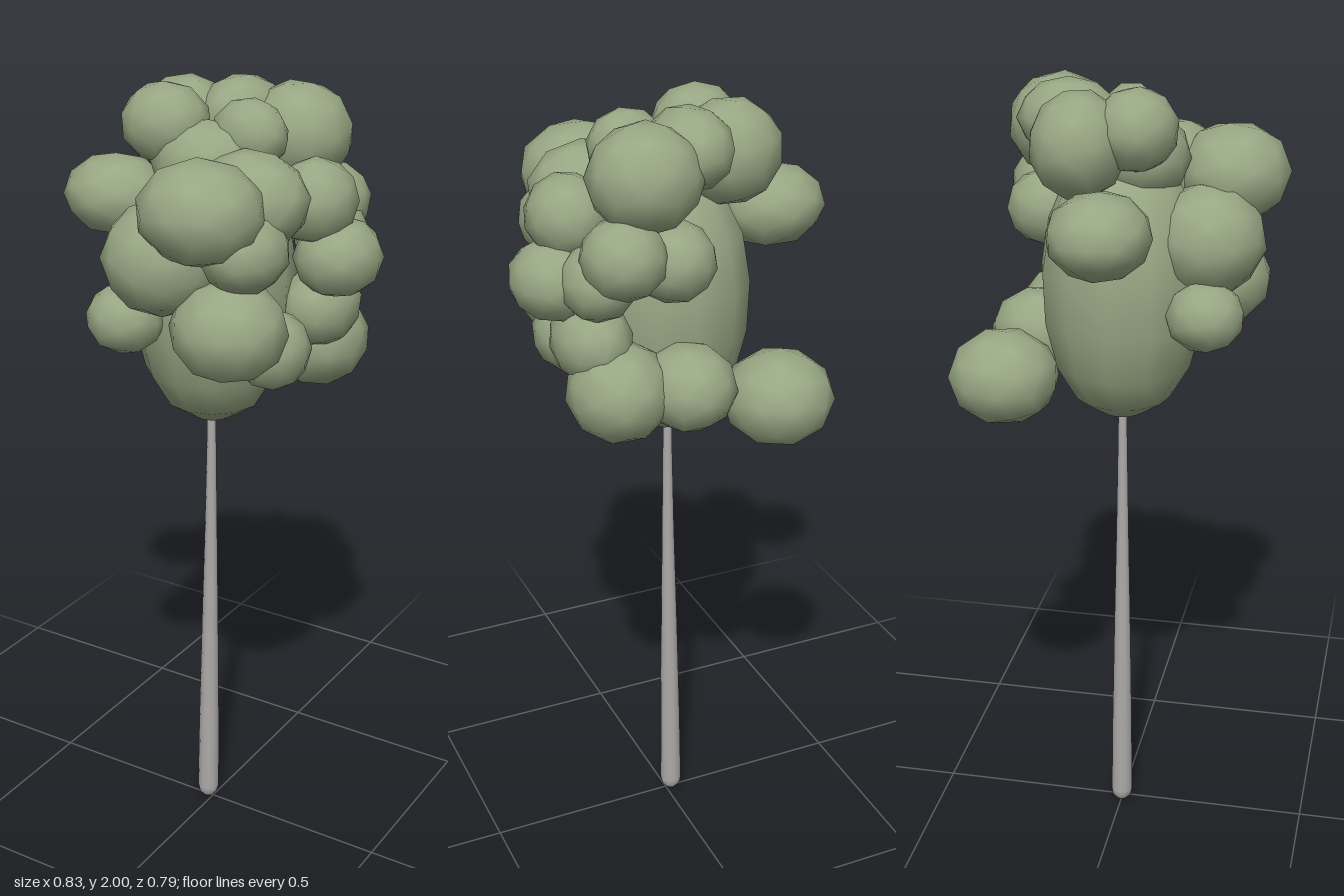
import * as THREE from 'three';

export function createModel() {
  const group = new THREE.Group();
  const leaf = new THREE.MeshStandardMaterial({ color: 0x98a784 });
  leaf.name = 'leaf green';
  const bark = new THREE.MeshStandardMaterial({ color: 0xaeaaaa });
  bark.name = 'bark grey';

  const v = (x, y) => new THREE.Vector2(x, y);

  // Slender trunk with a rounded foot, leaning slightly toward the crown
  const trunkGeo = new THREE.LatheGeometry([
    v(0, 0), v(0.016, 0.004), v(0.026, 0.016), v(0.029, 0.035), v(0.027, 0.25),
    v(0.022, 0.55), v(0.016, 0.85), v(0.012, 1.1), v(0.01, 1.25), v(0, 1.25),
  ], 12);
  const p = trunkGeo.attributes.position;
  for (let i = 0; i < p.count; i++) {
    p.setX(i, p.getX(i) - 0.005 - 0.011 * Math.max(0, 1 - p.getY(i)));
  }
  const trunk = new THREE.Mesh(trunkGeo, bark);
  trunk.name = 'trunk';
  group.add(trunk);

  // Central foliage mass, tapering toward the trunk
  const core = new THREE.Mesh(new THREE.LatheGeometry([
    v(0, 1.16), v(0.05, 1.17), v(0.12, 1.215), v(0.17, 1.3), v(0.2, 1.42),
    v(0.205, 1.55), v(0.185, 1.67), v(0.135, 1.77), v(0.07, 1.82), v(0, 1.84),
  ], 12), leaf);
  core.name = 'crownCore';
  group.add(core);

  // Leaf clumps: x, y, z, radius x, radius y, radius z
  const clumps = {
    side: [
      [-0.28, 1.7, 0, 0.135, 0.1, 0.122],
      [0.26, 1.75, -0.03, 0.1, 0.1, 0.11],
      [0.31, 1.615, -0.06, 0.105, 0.095, 0.115],
      [0.24, 1.63, -0.16, 0.09, 0.09, 0.1],
      [0.24, 1.47, -0.11, 0.095, 0.1, 0.12],
      [0.22, 1.41, 0.09, 0.09, 0.095, 0.1],
    ],
    top: [
      [-0.125, 1.87, -0.08, 0.13, 0.125, 0.115],
      [-0.1, 1.905, 0.05, 0.11, 0.097, 0.1],
      [0, 1.905, -0.13, 0.1, 0.095, 0.125],
      [0.13, 1.865, -0.18, 0.135, 0.125, 0.13],
      [0.1, 1.89, 0, 0.095, 0.085, 0.075],
      [0.01, 1.82, 0.05, 0.135, 0.105, 0.11],
    ],
    front: [
      [0.12, 1.765, 0.25, 0.15, 0.12, 0.14],
      [0.16, 1.765, 0.1, 0.145, 0.115, 0.12],
      [0.2, 1.67, 0.19, 0.1, 0.095, 0.115],
      [-0.01, 1.63, 0.21, 0.145, 0.135, 0.14],
      [0.17, 1.485, 0.21, 0.14, 0.12, 0.135],
      [-0.11, 1.47, 0.22, 0.095, 0.085, 0.095],
    ],
    back: [
      [-0.18, 1.31, -0.26, 0.135, 0.115, 0.135],
      [0.04, 1.36, -0.22, 0.115, 0.105, 0.125],
      [0.2, 1.36, -0.18, 0.125, 0.12, 0.135],
      [0.2, 1.7, -0.22, 0.1, 0.095, 0.105],
      [0.07, 1.67, -0.2, 0.1, 0.095, 0.105],
    ],
  };

  let turn = 0;
  for (const [name, list] of Object.entries(clumps)) {
    list.forEach(([x, y, z, rx, ry, rz], i) => {
      const geo = new THREE.IcosahedronGeometry(1.02, 1);
      geo.rotateY(turn).rotateX(turn * 0.7);
      turn += 1.3;
      const clump = new THREE.Mesh(geo, leaf);
      clump.scale.set(rx, ry, rz);
      clump.position.set(x, y, z);
      clump.name = name + 'LeafClump' + (i + 1);
      group.add(clump);
    });
  }
  return group;
}
